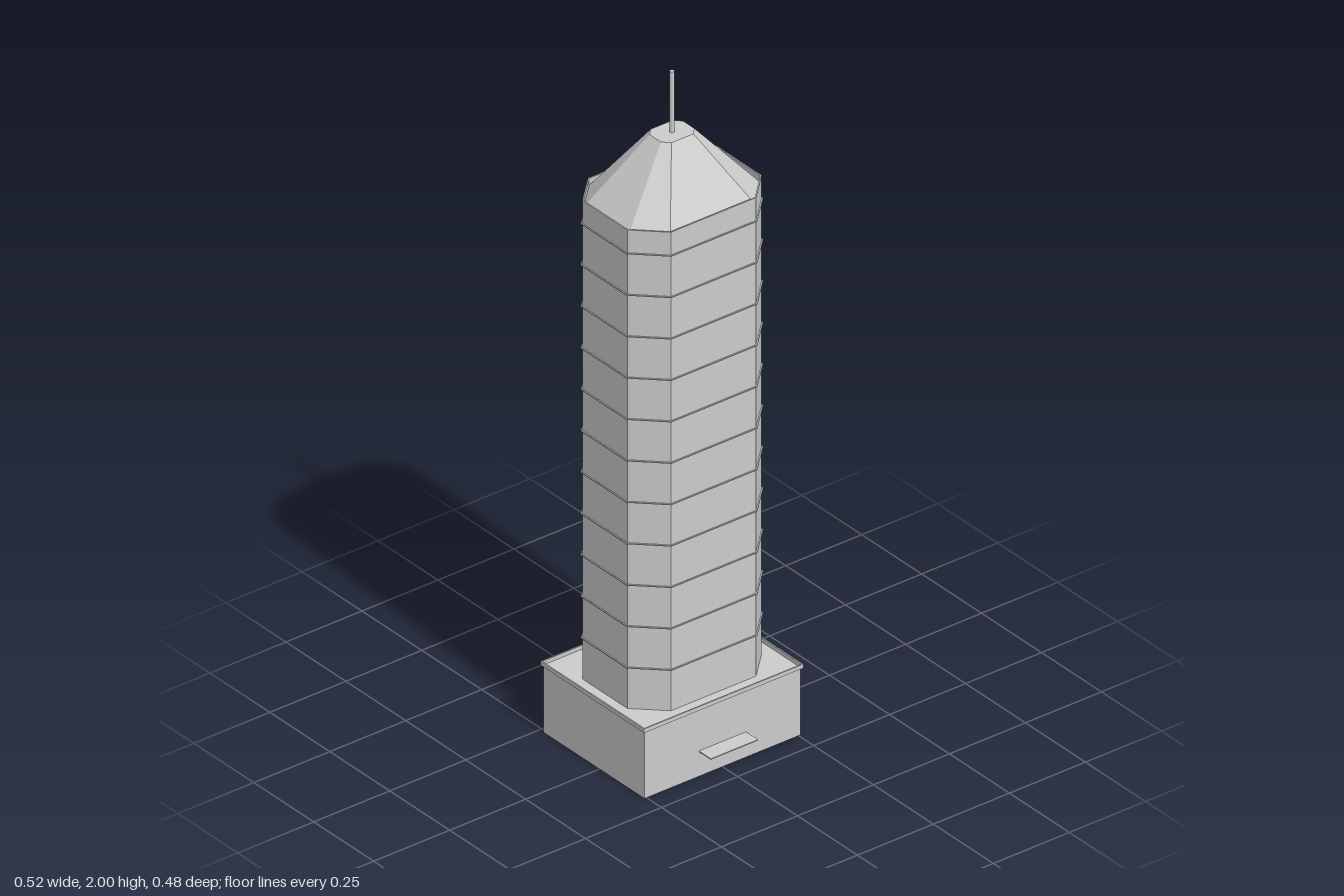
import * as THREE from 'three';

const concrete = new THREE.MeshStandardMaterial({ color: 0xcccccc });
concrete.name = 'pale grey';

// Chamfered rectangle: hx, hz are half sizes, cx, cz where the chamfers begin
const octagon = (hx, hz, cx, cz) => [
  [hx, -cz], [hx, cz], [cx, hz], [-cx, hz],
  [-hx, cz], [-hx, -cz], [-cx, -hz], [cx, -hz],
];
const rectangle = (hx, hz) => [[hx, -hz], [hx, hz], [-hx, hz], [-hx, -hz]];
const toPoints = (pts) => pts.map(([x, z]) => new THREE.Vector2(x, z));

// Vertical prism from an outline, with an optional hollow core
function prism(outline, y0, y1, hole) {
  const shape = new THREE.Shape(toPoints(outline));
  if (hole) shape.holes.push(new THREE.Path(toPoints(hole)));
  const geo = new THREE.ExtrudeGeometry(shape, { depth: y1 - y0, bevelEnabled: false });
  return geo.rotateX(-Math.PI / 2).translate(0, y0, 0);
}

// Faceted frustum between two outlines, closed by a flat top
function frustum(low, y0, high, y1) {
  const pos = [];
  const n = low.length;
  const cap = (i) => [high[i][0], y1, high[i][1]];
  for (let i = 0; i < n; i++) {
    const j = (i + 1) % n;
    const a = [low[i][0], y0, low[i][1]];
    const b = [low[j][0], y0, low[j][1]];
    pos.push(...a, ...cap(j), ...b, ...a, ...cap(i), ...cap(j));
    pos.push(0, y1, 0, ...cap(j), ...cap(i));
  }
  const geo = new THREE.BufferGeometry();
  geo.setAttribute('position', new THREE.Float32BufferAttribute(pos, 3));
  geo.computeVertexNormals();
  return geo;
}

export function createModel() {
  const model = new THREE.Group();
  model.name = 'skyscraper';
  const building = new THREE.Group();
  building.name = 'building';
  building.position.z = -0.0235;
  model.add(building);

  const add = (name, geo, parent = building) => {
    const mesh = new THREE.Mesh(geo, concrete);
    mesh.name = name;
    parent.add(mesh);
    return mesh;
  };

  // Podium: hollow box open underneath, with a sunken deck and a slim rim
  const podium = rectangle(0.257, 0.211);
  add('podiumWalls', prism(podium, 0, 0.203, rectangle(0.254, 0.208)));
  add('podiumDeck', prism(podium, 0.2, 0.203));
  add('podiumRim', prism(rectangle(0.262, 0.216), 0.202, 0.214, rectangle(0.258, 0.212)));

  // Entrance canopy
  const canopy = add('entranceCanopy', new THREE.BoxGeometry(0.155, 0.003, 0.05));
  canopy.position.set(0, 0.075, 0.2355);

  // Tower shaft and roof parapet
  const wall = octagon(0.221, 0.173, 0.14, 0.094);
  const inner = octagon(0.217, 0.169, 0.139, 0.093);
  add('towerShaft', prism(wall, 0.203, 1.627));
  add('roofParapet', prism(wall, 1.627, 1.647, inner));

  // Floor ledges
  const ledges = new THREE.Group();
  ledges.name = 'floorLedges';
  building.add(ledges);
  const ledge = octagon(0.2245, 0.1765, 0.1415, 0.0955);
  for (let i = 0; i < 11; i++) {
    const y = 0.327 + i * 0.125;
    add('floorLedge', prism(ledge, y - 0.0015, y + 0.0015, inner), ledges);
  }

  // Sloping roof and mast
  add('roof', frustum(inner, 1.627, octagon(0.055, 0.0435, 0.036, 0.0235), 1.817));
  const mast = add('mast', new THREE.CylinderGeometry(0.007, 0.007, 0.185, 16));
  mast.position.y = 1.9075;

  return model;
}
